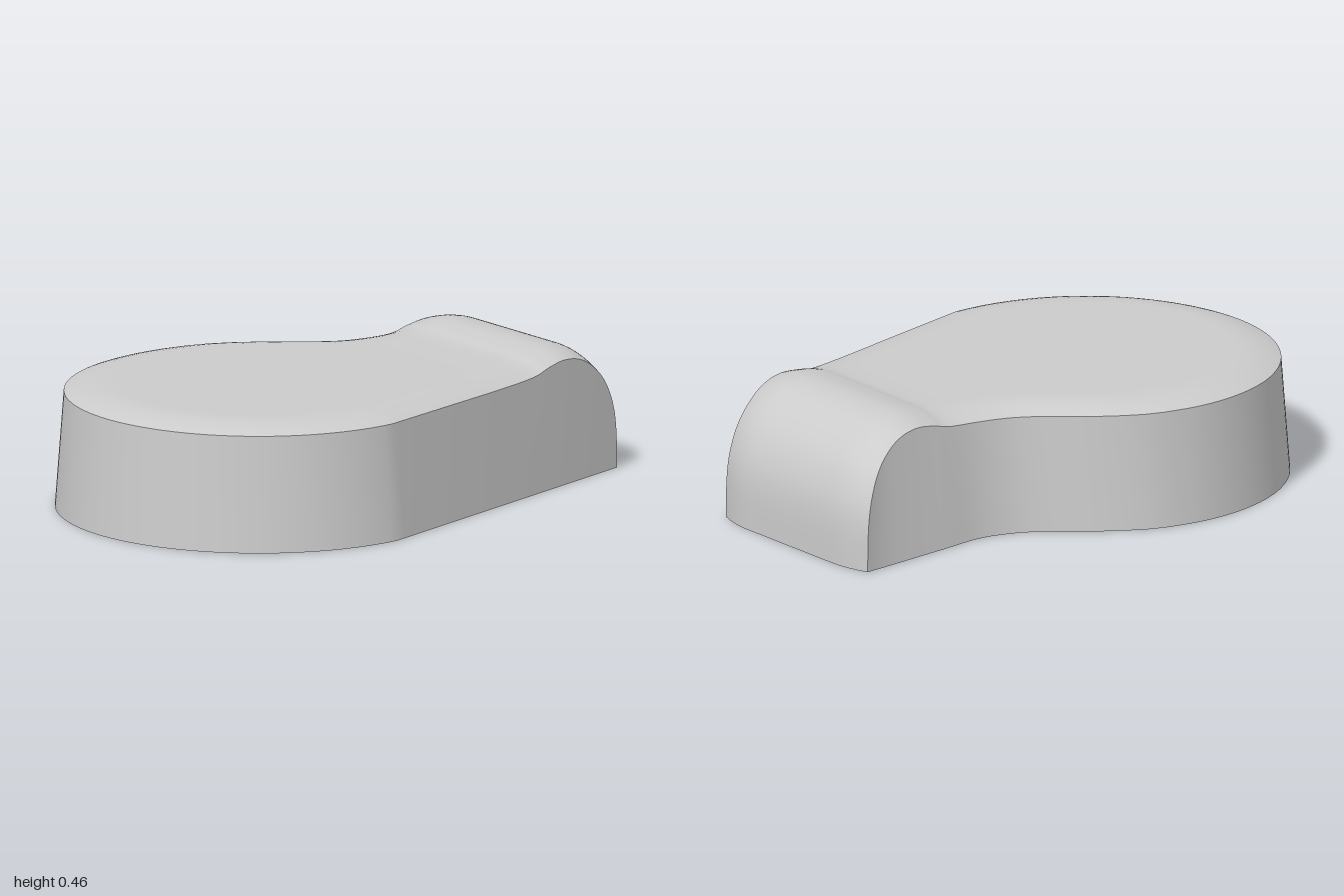
import * as THREE from 'three';

const CX = -0.31;      // centre of the round end
const R_BASE = 0.69;   // round end radius at the ground
const R_RIM = 0.66;    // round end radius at the upper rim
const BULGE = 0.032;   // crown height above the rim
const COLS = 32;

const spline = (pts) => new THREE.SplineCurve(pts.map(([x, y]) => new THREE.Vector2(x, y)));

// Smooth lookup z(x) through a few points
function lookup(pts) {
  const p = spline(pts).getPoints(200);
  return (x) => {
    let i = 1;
    while (i < p.length - 1 && p[i].x < x) i++;
    const a = p[i - 1], b = p[i];
    const t = THREE.MathUtils.clamp((x - a.x) / (b.x - a.x || 1), 0, 1);
    return a.y + (b.y - a.y) * t;
  };
}

// Surface from rows of points; faces rowDirection x columnDirection
function gridGeometry(rows) {
  const n = rows[0].length, index = [];
  for (let i = 0; i < rows.length - 1; i++) {
    for (let j = 0; j < n - 1; j++) {
      const a = i * n + j, b = a + n;
      index.push(a, b, a + 1, b, b + 1, a + 1);
    }
  }
  const g = new THREE.BufferGeometry().setFromPoints(rows.flat());
  g.setIndex(index);
  g.computeVertexNormals();
  return g;
}

export function createModel() {
  const group = new THREE.Group();
  const material = new THREE.MeshStandardMaterial({ color: 0xcccccc });
  const V = (x, y, z) => new THREE.Vector3(x, y, z);

  // Plan outlines of the narrow part, at the ground and at the rim
  const frontBase = (x) => 0.687 + (x + 0.25) * (0.325 - 0.687) / 1.22;
  const frontRim = lookup([[-0.25, 0.657], [0.1, 0.562], [0.5, 0.452], [0.75, 0.385], [0.97, 0.325]]);
  const backBase = lookup([[-0.25, -0.687], [-0.12, -0.663], [0, -0.606], [0.1, -0.54], [0.2, -0.465],
    [0.3, -0.412], [0.43, -0.385], [0.6, -0.405], [0.8, -0.43], [0.97, -0.45]]);
  const backRim = lookup([[-0.25, -0.657], [-0.12, -0.633], [0, -0.575], [0.1, -0.507], [0.2, -0.43],
    [0.3, -0.375], [0.42, -0.349], [0.55, -0.345], [0.7, -0.358], [0.85, -0.393], [0.97, -0.45]]);

  // Side profile of the rim: flat, a low hump, then rounding down to the ground
  const profile = spline([[-0.25, 0.4], [0.1, 0.4], [0.35, 0.4], [0.52, 0.405], [0.6, 0.422], [0.68, 0.432],
    [0.76, 0.42], [0.83, 0.385], [0.9, 0.32], [0.945, 0.235], [0.965, 0.14], [0.97, 0]]);

  // Stations from the round end to the square end
  const stations = [];
  const ARC = 36, end = Math.acos((-0.25 - CX) / R_BASE);
  for (let i = 0; i < ARC; i++) {
    const a = Math.PI + (end - Math.PI) * i / ARC;
    const c = Math.cos(a), s = Math.sin(a);
    stations.push({
      round: true, normal: new THREE.Vector2(0, 1),
      fb: V(CX + R_BASE * c, 0, R_BASE * s), fr: V(CX + R_RIM * c, 0.4, R_RIM * s),
      br: V(CX + R_RIM * c, 0.4, -R_RIM * s), bb: V(CX + R_BASE * c, 0, -R_BASE * s),
    });
  }
  const STEPS = 66;
  for (let i = 0; i <= STEPS; i++) {
    const p = profile.getPoint(i / STEPS), t = profile.getTangent(i / STEPS);
    const x = Math.min(p.x, 0.97);
    const xb = x - 0.015 * Math.max(0, (x - 0.4) / 0.57);
    stations.push({
      round: false, normal: new THREE.Vector2(-t.y, t.x),
      fb: V(x, 0, frontBase(x)), fr: V(x, p.y, frontRim(x)),
      br: V(xb, p.y, backRim(x)), bb: V(xb, 0, backBase(x)),
    });
  }
  stations[stations.length - 1].normal.set(1, 0);

  // Crowned cross-section between the two rims of a station
  const section = (s) => {
    const row = [], half = (s.fr.z - s.br.z) / 2;
    for (let j = 0; j <= COLS; j++) {
      const t = -Math.cos(Math.PI * j / COLS);
      const p = s.fr.clone().lerp(s.br, (t + 1) / 2);
      const d = s.round ? R_RIM - Math.hypot(p.x - CX, p.z) : half * (1 - Math.abs(t));
      const k = 1 - THREE.MathUtils.clamp(d / 0.16, 0, 1);
      const h = BULGE * (1 - k * k);
      row.push(V(p.x + s.normal.x * h, p.y + s.normal.y * h, p.z));
    }
    return row;
  };
  const crown = stations.map(section);

  // Flat underside, its last row following the bowed square end
  const base = stations.map((s, i) => {
    if (i === stations.length - 1) return crown[i].slice().reverse();
    return crown[i].map((_, j) => s.bb.clone().lerp(s.fb, (1 - Math.cos(Math.PI * j / COLS)) / 2));
  });

  const parts = {
    crownedTop: crown,
    frontWall: stations.map((s) => [s.fb, s.fr]),
    backWall: stations.map((s) => [s.br, s.bb]),
    underside: base,
  };
  for (const [name, rows] of Object.entries(parts)) {
    const mesh = new THREE.Mesh(gridGeometry(rows), material);
    mesh.name = name;
    group.add(mesh);
  }
  return group;
}
